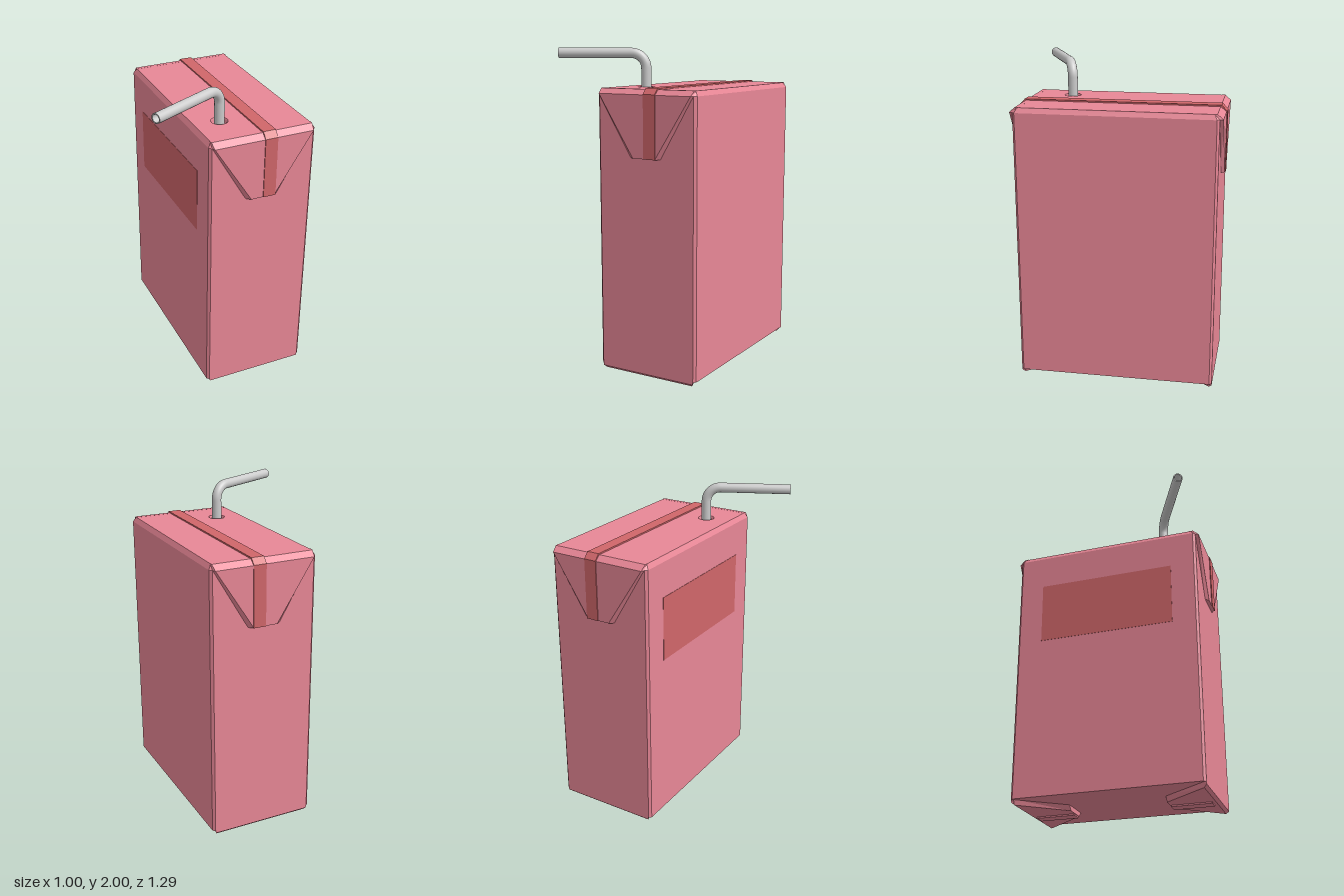
import * as THREE from 'three';

const CX = 0.16; // the carton sits beside the origin, the straw reaches to -x
const HOLE = { x: 0, z: 0.36, r: 0.052 };
const TOP = 1.765;

const grey = new THREE.MeshStandardMaterial({ color: 0xcccccc, side: THREE.DoubleSide });
const pink = new THREE.MeshStandardMaterial({ color: 0xe88796, flatShading: true });
const pinkOpen = new THREE.MeshStandardMaterial({ color: 0xe88796, side: THREE.DoubleSide });
const red = new THREE.MeshStandardMaterial({ color: 0xd0666a, flatShading: true });

function add(parent, name, geometry, material) {
  const mesh = new THREE.Mesh(geometry, material);
  mesh.name = name;
  parent.add(mesh);
  return mesh;
}

// Flat-faced skin over rings of points, counterclockwise seen from the last ring
function loft(rings, capEnd = true) {
  const out = [];
  const tri = (a, b, c) => out.push(...a, ...b, ...c);
  const n = rings[0].length;
  for (let i = 0; i < rings.length - 1; i++) {
    for (let j = 0; j < n; j++) {
      const k = (j + 1) % n;
      tri(rings[i][j], rings[i][k], rings[i + 1][k]);
      tri(rings[i][j], rings[i + 1][k], rings[i + 1][j]);
    }
  }
  const last = rings[rings.length - 1];
  for (let j = 1; j < n - 1; j++) {
    tri(rings[0][0], rings[0][j + 1], rings[0][j]);
    if (capEnd) tri(last[0], last[j], last[j + 1]);
  }
  const g = new THREE.BufferGeometry();
  g.setAttribute('position', new THREE.Float32BufferAttribute(out, 3));
  g.computeVertexNormals();
  return g;
}

// Rectangle with cut corners, as [x, z] pairs counterclockwise from above
function octagon(w, d, c) {
  return [[w, d - c], [w, -d + c], [w - c, -d], [-w + c, -d],
    [-w, -d + c], [-w, d - c], [-w + c, d], [w - c, d]].map(([x, z]) => [x + CX, z]);
}

// Folded flap: rows of [distance from fold, base half width, outer half width, base height, outer height]
function flap(rows) {
  return loft(rows.map(([v, wb, wt, hb, ht]) =>
    [[-wb, -v, hb], [wb, -v, hb], [wt, -v, ht], [-wt, -v, ht]]));
}

export function createModel() {
  const model = new THREE.Group();
  model.name = 'drinkCarton';

  // Body with chamfered upright and top edges
  const lower = octagon(0.34, 0.62, 0.015);
  const upper = octagon(0.322, 0.605, 0.015);
  const at = (ring, y) => ring.map(([x, z]) => [x, y, z]);
  add(model, 'body', loft([at(lower, 0.04), at(lower, 1.735), at(upper, TOP)], false), pink);

  // Top panel, pierced for the straw
  const panel = new THREE.Shape(upper.map(([x, z]) => new THREE.Vector2(x, -z)));
  panel.holes.push(new THREE.Path().absarc(HOLE.x, -HOLE.z, HOLE.r, 0, Math.PI * 2, true));
  const topPanel = add(model, 'topPanel', new THREE.ShapeGeometry(panel, 24), pink);
  topPanel.rotation.x = -Math.PI / 2;
  topPanel.position.y = TOP;

  const well = [[HOLE.r, 0], [0.044, -0.012], [0.044, -0.07], [0, -0.07]];
  const strawHole = add(model, 'strawHole',
    new THREE.LatheGeometry(well.map(([r, y]) => new THREE.Vector2(r, y)), 32), pinkOpen);
  strawHole.position.set(HOLE.x, TOP, HOLE.z);

  // Folded flaps at both ends, above and below
  for (const turn of [0, Math.PI]) {
    const end = new THREE.Group();
    end.name = turn ? 'backFlaps' : 'frontFlaps';
    end.position.x = CX;
    end.rotation.y = turn;
    model.add(end);

    const topFlap = add(end, 'topFlap', flap([
      [-0.031, 0.325, 0.322, -0.04, -0.015],
      [0, 0.325, 0.316, -0.002, 0.021],
      [0.375, 0.105, 0.076, -0.002, 0.021],
    ]), pink);
    topFlap.position.set(0, 1.735, 0.62);

    const bottomFlap = add(end, 'bottomFlap', flap([
      [0, 0.325, 0.322, -0.002, 0.014],
      [0.018, 0.325, 0.31, -0.002, 0.031],
      [0.305, 0.105, 0.076, -0.002, 0.031],
    ]), pink);
    bottomFlap.position.set(0, 0.04, 0.62);
    bottomFlap.rotation.x = Math.PI / 2;

    // Seam running under the bottom flap
    const seam = add(end, 'bottomSeam', new THREE.BoxGeometry(0.08, 0.012, 0.26), pink);
    seam.position.set(turn ? -0.04 : 0.04, 0.006, 0.45);
  }

  // Seam strip over the top and down both top flaps
  const outer = [[0.646, 1.36], [0.646, 1.738], [0.612, 1.774]];
  const inner = [[0.6, 1.75], [0.63, 1.73], [0.63, 1.36]];
  const flip = (pts) => pts.map(([z, y]) => [-z, y]).reverse();
  const outline = [...outer, ...flip(outer), ...flip(inner), ...inner];
  const strip = add(model, 'seamStrip', new THREE.ExtrudeGeometry(
    new THREE.Shape(outline.map(([z, y]) => new THREE.Vector2(z, y))),
    { depth: 0.08, bevelEnabled: false }), red);
  strip.rotation.y = Math.PI / 2;
  strip.position.x = CX;

  // Printed panel on the right side
  const label = add(model, 'sidePanel', new THREE.BoxGeometry(0.004, 0.41, 0.9), red);
  label.position.set(-0.18, 1.31, 0);

  // Bent hollow straw
  const straw = new THREE.Group();
  straw.name = 'straw';
  model.add(straw);
  const yTop = 1.97, bend = 0.09, k = bend * 0.45;
  const tip = new THREE.Vector3(-0.487, yTop, 0.594);
  const corner = new THREE.Vector3(HOLE.x, yTop, HOLE.z);
  const dir = tip.clone().sub(corner).normalize();
  const along = (d) => corner.clone().addScaledVector(dir, d);
  const down = (d) => corner.clone().setY(yTop - d);
  const path = new THREE.CurvePath();
  path.add(new THREE.LineCurve3(down(0.272), down(bend)));
  path.add(new THREE.CubicBezierCurve3(down(bend), down(k), along(k), along(bend)));
  path.add(new THREE.LineCurve3(along(bend), tip));
  add(straw, 'strawOutside', new THREE.TubeGeometry(path, 80, 0.031, 24), grey);
  add(straw, 'strawInside', new THREE.TubeGeometry(path, 80, 0.024, 24), grey);
  const rim = add(straw, 'strawRim', new THREE.RingGeometry(0.024, 0.031, 24), grey);
  rim.position.copy(tip);
  rim.lookAt(tip.clone().add(dir));

  return model;
}
